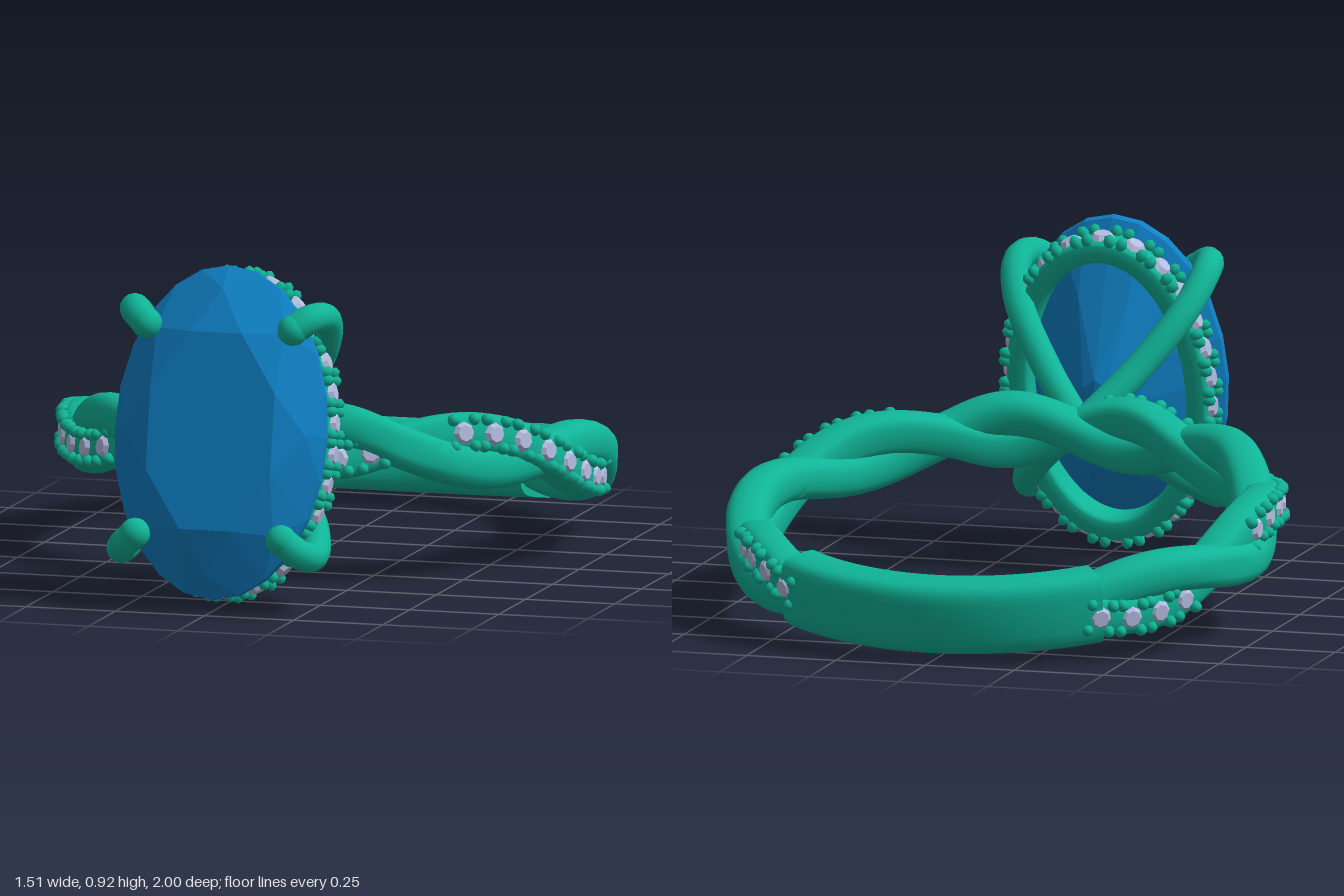
import * as THREE from 'three';
import { mergeGeometries, toCreasedNormals } from 'three/addons/utils/BufferGeometryUtils.js';
import { ConvexGeometry } from 'three/addons/geometries/ConvexGeometry.js';

const V = (x, y, z) => new THREE.Vector3(x, y, z);
const DEG = Math.PI / 180;
const metal = new THREE.MeshStandardMaterial({ color: 0x10b497 });
const blue = new THREE.MeshStandardMaterial({ color: 0x0f7fc4, flatShading: true });
const pale = new THREE.MeshStandardMaterial({ color: 0xb4bce0, flatShading: true });

function mesh(name, geometry, material = metal) {
  const m = new THREE.Mesh(geometry, material);
  m.name = name;
  return m;
}

// Skin a list of closed cross-sections; open ends are capped
function loft(rows, closed = false) {
  if (!closed) {
    const cap = row => {
      const c = row.reduce((s, p) => s.add(p), V(0, 0, 0)).divideScalar(row.length);
      return row.map(() => c);
    };
    rows = [cap(rows[0]), ...rows, cap(rows[rows.length - 1])];
  }
  const n = rows[0].length, index = [], count = rows.length;
  for (let i = 0; i < (closed ? count : count - 1); i++) {
    for (let j = 0; j < n; j++) {
      const i2 = (i + 1) % count, j2 = (j + 1) % n;
      const a = i * n + j, b = i2 * n + j, c = i2 * n + j2, d = i * n + j2;
      index.push(a, b, c, a, c, d);
    }
  }
  const g = new THREE.BufferGeometry().setFromPoints(rows.flat());
  g.setIndex(index);
  return toCreasedNormals(g, 0.7);
}

// Rounded-rectangle section: returns [u, v] pairs, lower power = squarer
function section(hu, hv, power, n = 20) {
  const soft = c => Math.sign(c) * Math.abs(c) ** power;
  return Array.from({ length: n }, (_, j) => {
    const a = j / n * Math.PI * 2;
    return [hu * soft(Math.cos(a)), hv * soft(Math.sin(a))];
  });
}

const polar = (r, y, phi) => V(r * Math.sin(phi), y, r * Math.cos(phi));

// Twisting strand: angle is measured from the front, side = 1 paved, -1 plain
function strandAt(deg, side) {
  const a = Math.abs(deg);
  const phase = Math.PI * (a < 29 ? a / 29 : 1 + (a - 29) / 40);
  return {
    r: 0.682 + side * 0.014 * Math.cos(phase),
    y: -side * Math.sign(deg) * 0.046 * Math.sin(phase),
  };
}

function bandArc(from, to, steps, at, profile) {
  const rows = [];
  for (let i = 0; i <= steps; i++) {
    const deg = from + (to - from) * i / steps, { r, y } = at(deg);
    rows.push(profile.map(([u, v]) =>
      polar(THREE.MathUtils.clamp(r + u, 0.61, 0.75), y + v, deg * DEG)));
  }
  return loft(rows);
}

// Small stones with four corner beads, placed by a frame matrix
const stoneShape = new THREE.CylinderGeometry(0.022, 0.043, 0.024, 8).rotateX(Math.PI / 2).toNonIndexed();
const beadShape = mergeGeometries([-1, 1].flatMap(sx => [-1, 1].map(sy =>
  new THREE.SphereGeometry(0.0165, 8, 6).scale(1, 1, 1.25).translate(sx * 0.031, sy * 0.036, 0.001))));

function pave(name, frames) {
  const group = new THREE.Group();
  group.name = name;
  const placed = shape => mergeGeometries(frames.map(({ p, along, out }) => {
    const across = out.clone().cross(along).normalize();
    const m = new THREE.Matrix4().makeBasis(along, across, out).setPosition(p);
    return shape.clone().applyMatrix4(m);
  }));
  group.add(mesh(name + 'Stones', placed(stoneShape), pale), mesh(name + 'Beads', placed(beadShape)));
  return group;
}

function buildBand() {
  const band = new THREE.Group();
  band.name = 'band';
  band.add(mesh('pavedStrand', bandArc(-150, 150, 180, d => strandAt(d, 1), section(0.052, 0.056, 0.6))));
  band.add(mesh('plainStrand', bandArc(-150, 150, 180, d => strandAt(d, -1), section(0.06, 0.06, 0.8))));
  band.add(mesh('backShank', bandArc(143, 217, 50, () => ({ r: 0.68, y: 0 }), section(0.07, 0.1, 0.5, 28))));

  // Stones on the exposed runs of the paved strand
  const frames = [];
  const point = d => {
    const { r, y } = strandAt(d, 1);
    return polar(r + 0.048, y, d * DEG);
  };
  for (const side of [-1, 1]) {
    for (const [start, n] of [[9, 3], [44, 8], [122, 4]]) {
      for (let i = 0; i < n; i++) {
        const d = side * (start + i * 7.2);
        const out = polar(1, 0, d * DEG);
        const along = point(d + 1).sub(point(d - 1)).projectOnPlane(out).normalize();
        frames.push({ p: point(d), along, out });
      }
    }
  }
  band.add(pave('bandPave', frames));
  return band;
}

// Oval faceted centre stone
function buildGem() {
  const pts = [];
  const ring = (n, scale, z, offset = 0) => {
    for (let i = 0; i < n; i++) {
      const a = (i + offset) / n * Math.PI * 2;
      pts.push(V(0.295 * scale * Math.sin(a), 0.45 * scale * Math.cos(a), z));
    }
  };
  ring(8, 0.64, 1.22, 0.5);
  ring(8, 0.86, 1.177);
  ring(24, 1, 1.127);
  ring(24, 1, 1.1);
  ring(8, 0.62, 0.985, 0.5);
  ring(8, 0.16, 0.862);
  pts.push(V(0, 0, 0.85));
  return mesh('centreStone', new ConvexGeometry(pts), blue);
}

// Oval halo set with stones facing outward
function buildHalo() {
  const halo = new THREE.Group();
  halo.name = 'halo';
  const ax = 0.25, ay = 0.4, z = 1.005;
  const frame = t => ({
    p: V(ax * Math.sin(t), ay * Math.cos(t), z),
    along: V(ax * Math.cos(t), -ay * Math.sin(t), 0).normalize(),
    out: V(ay * Math.sin(t), ax * Math.cos(t), 0).normalize(),
  });
  const profile = section(0.032, 0.048, 0.4);
  const rows = Array.from({ length: 96 }, (_, i) => {
    const { p, out } = frame(i / 96 * Math.PI * 2);
    return profile.map(([u, v]) => p.clone().addScaledVector(out, u).add(V(0, 0, -v)));
  });
  halo.add(mesh('haloRing', loft(rows, true)));

  // Space the stones evenly along the oval
  const path = new THREE.CatmullRomCurve3(
    Array.from({ length: 64 }, (_, i) => frame(i / 64 * Math.PI * 2).p), true);
  const frames = path.getSpacedPoints(26).slice(0, 26).map(p => {
    const f = frame(Math.atan2(p.x / ax, p.y / ay));
    f.p.addScaledVector(f.out, 0.032);
    return f;
  });
  halo.add(pave('haloPave', frames));
  return halo;
}

// Four claws rising from the band and curling over the stone
function buildClaws() {
  const claws = new THREE.Group();
  claws.name = 'claws';
  for (const sx of [-1, 1]) {
    for (const sy of [-1, 1]) {
      const pts = [[0, 0, 0.71], [0.12, 0.11, 0.83], [0.235, 0.25, 0.97],
        [0.265, 0.32, 1.08], [0.245, 0.315, 1.16], [0.205, 0.283, 1.185]]
        .map(([x, y, z]) => V(sx * x, sy * y, z));
      const curve = new THREE.CatmullRomCurve3(pts);
      claws.add(mesh('claw', new THREE.TubeGeometry(curve, 36, 0.04, 14)));
      const tip = mesh('clawTip', new THREE.SphereGeometry(0.042, 16, 12));
      tip.position.copy(pts[5]);
      claws.add(tip);
    }
  }
  const base = mesh('clawBase', new THREE.SphereGeometry(0.055, 18, 14));
  base.position.z = 0.715;
  claws.add(base);
  return claws;
}

export function createModel() {
  const model = new THREE.Group();
  model.name = 'ring';
  const tilted = new THREE.Group();
  tilted.name = 'tiltedRing';
  tilted.add(buildBand(), buildGem(), buildHalo(), buildClaws());
  tilted.rotation.x = -0.195;
  tilted.position.set(0, 0.245, -0.25);
  model.add(tilted);
  return model;
}
